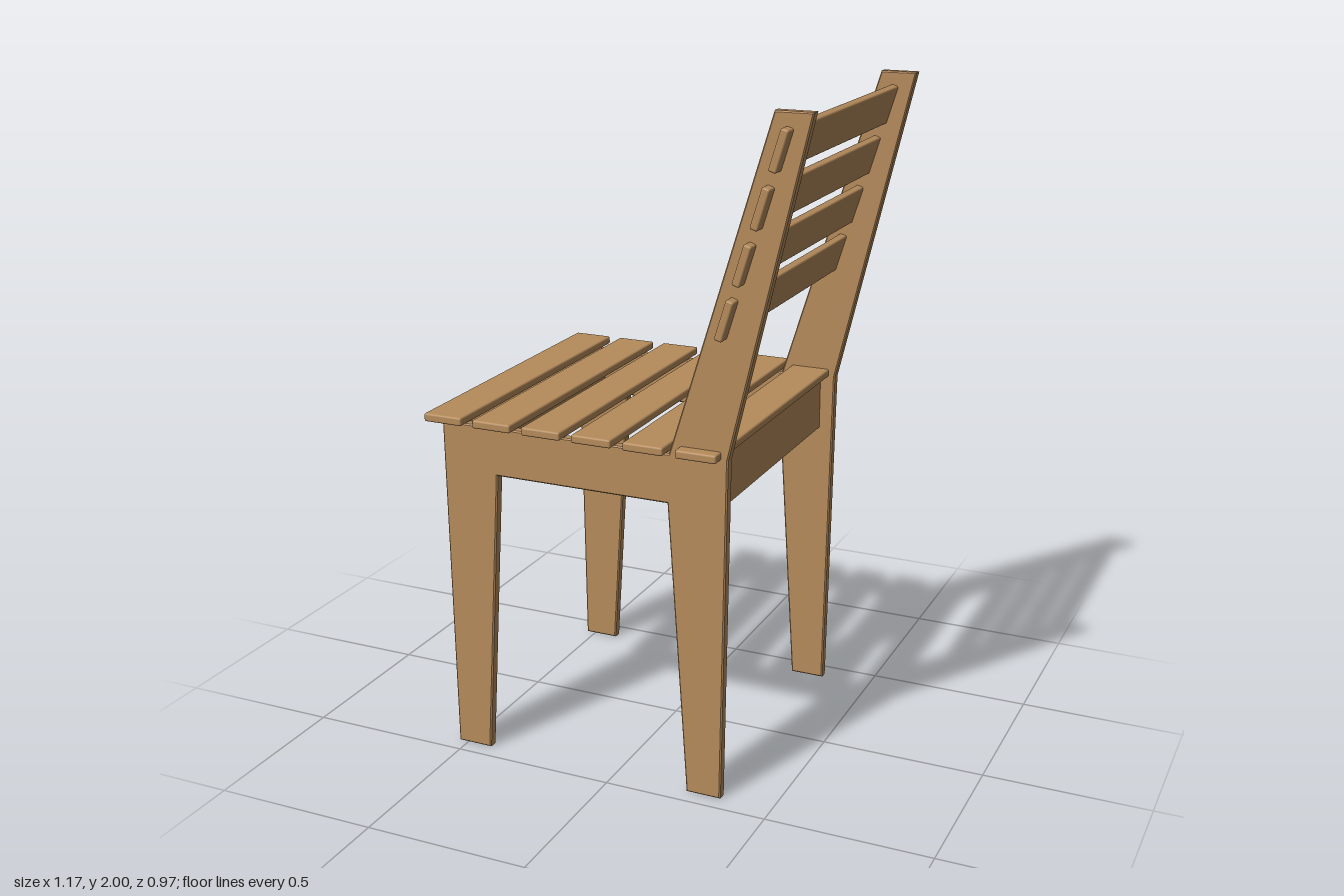
import * as THREE from 'three';
import { RoundedBoxGeometry } from 'three/addons/geometries/RoundedBoxGeometry.js';

export function createModel() {
  const chair = new THREE.Group();
  chair.name = 'slattedChair';
  const wood = new THREE.MeshStandardMaterial({ color: 0xb58b5b });
  wood.name = 'wood';

  const add = (name, geometry, x, y, z, tilt = 0) => {
    const mesh = new THREE.Mesh(geometry, wood);
    mesh.name = name;
    mesh.position.set(x, y, z);
    mesh.rotation.z = tilt;
    chair.add(mesh);
    return mesh;
  };

  // Side frames: legs, seat rail and back post cut from one board
  const outline = new THREE.Shape([
    [-0.53, 0], [-0.42, 0], [-0.366, 0.89], [0.175, 0.89], [0.235, 0], [0.342, 0],
    [0.357, 1.04], [0.583, 2], [0.475, 2], [0.18, 1.037], [-0.545, 1.037],
  ].map(([x, y]) => new THREE.Vector2(x, y)));
  const thickness = 0.032, bevel = 0.004;
  const frame = new THREE.ExtrudeGeometry(outline, {
    depth: thickness - 2 * bevel, bevelEnabled: true, bevelThickness: bevel,
    bevelSize: bevel, bevelOffset: -bevel, bevelSegments: 1,
  });
  frame.translate(0, 0, bevel - thickness / 2);
  add('leftSideFrame', frame, 0, 0, 0.434);
  add('rightSideFrame', frame, 0, 0, -0.434);

  // Seat slats, evenly spaced along the rails
  const slatLength = 0.974;
  const seatSlat = new RoundedBoxGeometry(0.123, 0.025, slatLength, 2, 0.006);
  for (let i = 0; i < 6; i++) add(`seatSlat${i + 1}`, seatSlat, -0.5225 + i * 0.1595, 1.052, 0);

  // Backrest slats, tilted with the posts and passing through them
  const backSlat = new RoundedBoxGeometry(0.024, 0.118, slatLength, 2, 0.006);
  for (let i = 0; i < 4; i++) {
    add(`backSlat${i + 1}`, backSlat, 0.355 + i * 0.0487, 1.442 + i * 0.1537, 0, -0.297);
  }

  // Cross boards under the seat
  const apron = new THREE.BoxGeometry(0.031, 0.17, 0.84);
  add('frontApron', apron, -0.464, 0.955, 0);
  add('backApron', apron, 0.295, 0.955, 0);

  return chair;
}
